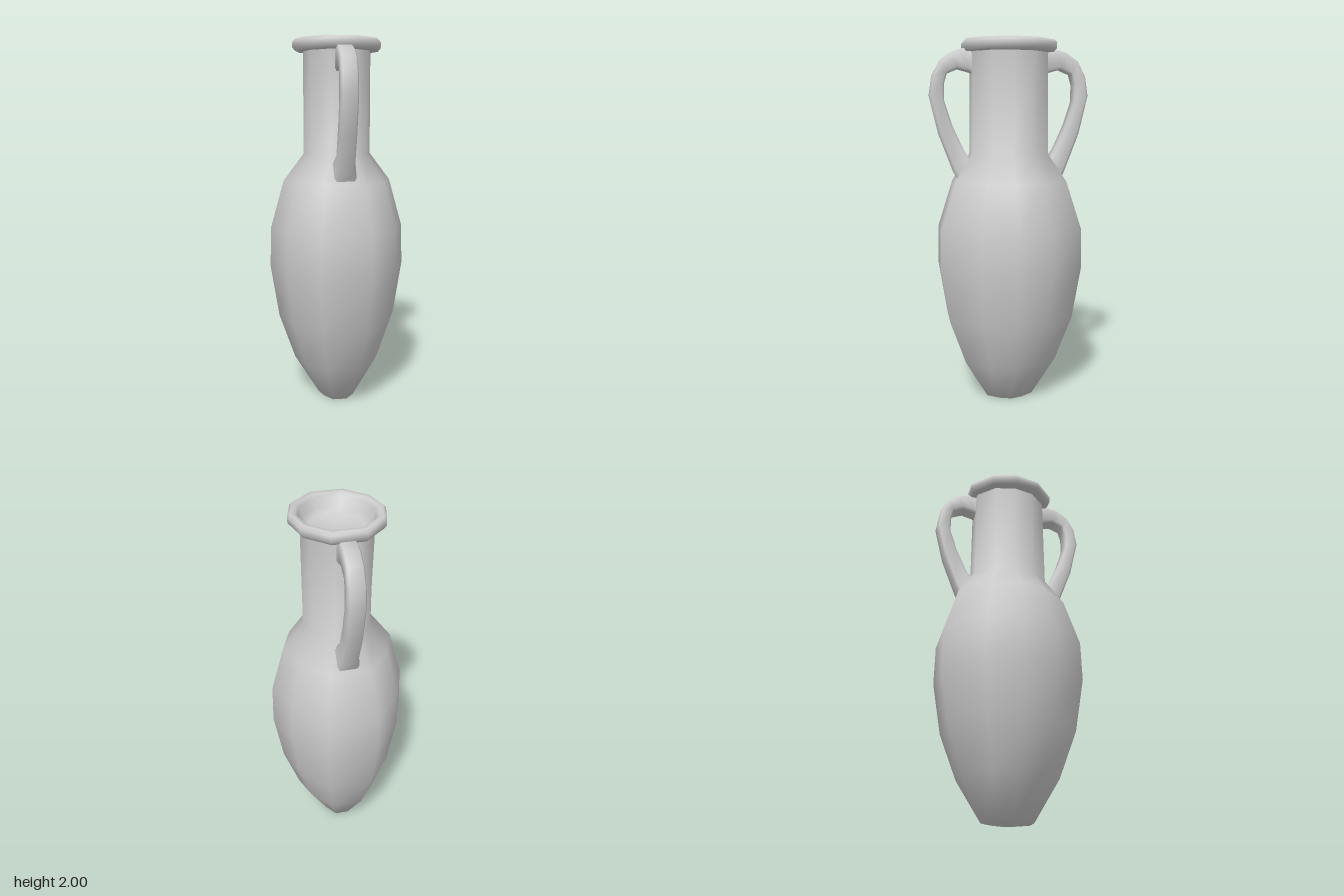
import * as THREE from 'three';
import { toCreasedNormals } from 'three/addons/utils/BufferGeometryUtils.js';

const CREASE = 1.25;

// Skin a list of equal-length rings of [x, y, z] points, closing both ends.
function loft(rings) {
  const n = rings[0].length;
  const positions = rings.flat(2);
  const index = [];
  for (let i = 0; i < rings.length - 1; i++) {
    for (let j = 0; j < n; j++) {
      const k = (j + 1) % n;
      const a = i * n + j, b = i * n + k, c = a + n, d = b + n;
      index.push(a, c, b, b, c, d);
    }
  }
  const cap = (ring, start, flip) => {
    const centre = positions.length / 3;
    for (let axis = 0; axis < 3; axis++) {
      positions.push(ring.reduce((sum, p) => sum + p[axis], 0) / n);
    }
    for (let j = 0; j < n; j++) {
      const a = start + j, b = start + (j + 1) % n;
      index.push(centre, flip ? b : a, flip ? a : b);
    }
  };
  cap(rings[0], 0, false);
  cap(rings[rings.length - 1], (rings.length - 1) * n, true);
  const geometry = new THREE.BufferGeometry();
  geometry.setAttribute('position', new THREE.Float32BufferAttribute(positions, 3));
  geometry.setIndex(index);
  return toCreasedNormals(geometry, CREASE);
}

// Ten-sided cross-section, with corners on the x axis and flats facing z.
// The second corner (cx, cz) sets how pointed the sides are.
function vesselRing(y, rx, rz, cx, cz) {
  const decagon = [
    [1, 0], [cx, cz], [0.36, 1], [-0.36, 1], [-cx, cz],
    [-1, 0], [-cx, -cz], [-0.36, -1], [0.36, -1], [cx, -cz],
  ];
  return decagon.map(([x, z]) => [x * rx + 0.003, y, z * rz]);
}

// Flat strap section with chamfered edges, spanning an outer and an inner point.
const strap = [
  [1, 0.15], [1, 0.85], [0.8, 1], [-0.8, 1],
  [-1, 0.85], [-1, 0.15], [-0.8, 0], [0.8, 0],
];
const strapRing = ([zo, yo, zi, yi, w]) =>
  strap.map(([x, t]) => [x * w, yo + (yi - yo) * t, zo + (zi - zo) * t]);

export function createModel() {
  const model = new THREE.Group();
  model.name = 'amphora';
  const clay = new THREE.MeshStandardMaterial({ color: 0xcccccc });

  // Foot, belly, shoulder and neck: [height, half width, half depth]
  const bodyRings = [
    [0, 0.107, 0.13],
    [0.22, 0.243, 0.255],
    [0.47, 0.33, 0.343],
    [0.76, 0.376, 0.389],
    [0.98, 0.37, 0.385],
    [1.24, 0.297, 0.305],
    [1.39, 0.184, 0.21],
  ].map(([y, rx, rz]) => vesselRing(y, rx, rz, 0.8, 0.5));

  // Straight neck, rounded lip and shallow recessed mouth
  const lipRings = [
    [1.935, 0.184, 0.205],
    [1.937, 0.225, 0.235],
    [1.955, 0.241, 0.249],
    [1.985, 0.242, 0.25],
    [2, 0.228, 0.237],
    [1.997, 0.205, 0.212],
    [1.98, 0.19, 0.193],
    [1.935, 0.175, 0.184],
    [1.907, 0.145, 0.155],
  ].map(([y, rx, rz]) => vesselRing(y, rx, rz, 0.85, 0.56));

  const vessel = new THREE.Mesh(loft([...bodyRings, ...lipRings]), clay);
  vessel.name = 'vessel';
  model.add(vessel);

  // Handles: [outer z, outer y, inner z, inner y, half width], flared into the shoulder
  const handleGeometry = loft([
    [0.194, 1.945, 0.194, 1.815, 0.045],
    [0.254, 1.952, 0.215, 1.828, 0.045],
    [0.31, 1.935, 0.28, 1.845, 0.045],
    [0.375, 1.89, 0.339, 1.82, 0.045],
    [0.418, 1.81, 0.354, 1.765, 0.045],
    [0.434, 1.705, 0.354, 1.675, 0.045],
    [0.386, 1.5, 0.312, 1.545, 0.045],
    [0.31, 1.3, 0.25, 1.41, 0.045],
    [0.265, 1.21, 0.195, 1.33, 0.075],
  ].map(strapRing));
  for (const [name, turn] of [['frontHandle', 0], ['backHandle', Math.PI]]) {
    const handle = new THREE.Mesh(handleGeometry, clay);
    handle.name = name;
    handle.position.x = 0.01;
    handle.rotation.y = turn;
    model.add(handle);
  }
  return model;
}
